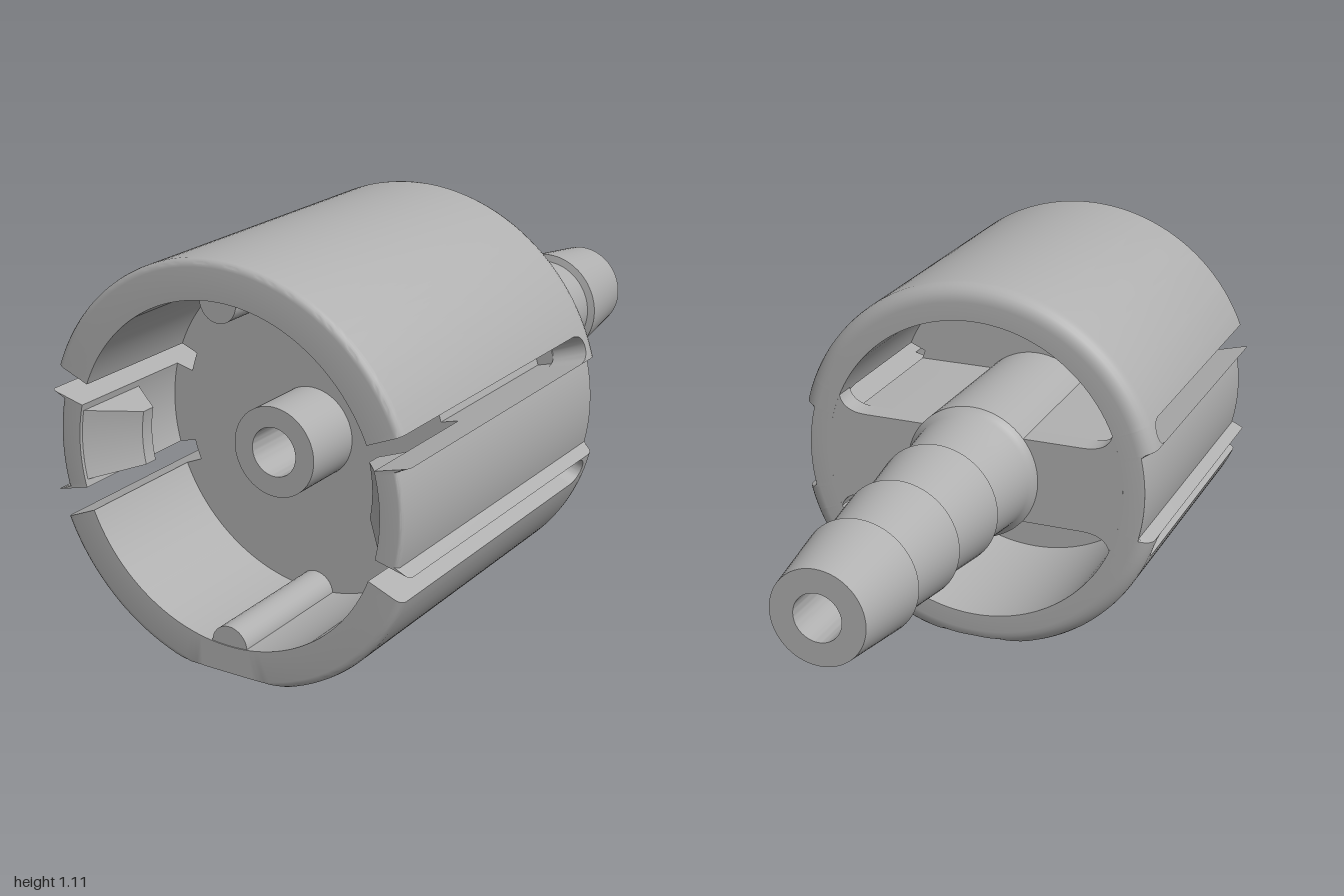
import * as THREE from 'three';
import { toCreasedNormals } from 'three/addons/utils/BufferGeometryUtils.js';

const CY = 0.54;                 // height of the main axis
const R = 0.567, RI = 0.463;     // outer and inner wall radius
const RC = 0.528, RS = 0.41;     // clip radius, slot floor radius
const BORE = 0.068;
const rad = THREE.MathUtils.degToRad;
const A0 = 14.4, A1 = 22.3;      // slot edges in degrees

const plastic = new THREE.MeshStandardMaterial({ color: 0xb0b0b0 });
plastic.name = 'grey plastic';

// Sweep a counter-clockwise (radius, z) profile around z through a list of angles
function sweep(angles, profileAt) {
  const pos = [], idx = [];
  const n = profileAt(angles[0]).length, last = angles.length - 1;
  for (const a of angles) {
    for (const [r, z] of profileAt(a)) {
      pos.push(r * Math.cos(rad(a)), Math.max(r * Math.sin(rad(a)), -CY), z);
    }
  }
  for (let i = 0; i < last; i++) {
    for (let j = 0; j < n; j++) {
      const a = i * n + j, b = i * n + (j + 1) % n, c = a + n, d = b + n;
      idx.push(a, c, b, b, c, d);
    }
  }
  if (angles[last] - angles[0] < 359) {
    const cap = (k) => THREE.ShapeUtils.triangulateShape(
      profileAt(angles[k]).map(([r, z]) => new THREE.Vector2(r, z)), []);
    for (const [a, b, c] of cap(0)) idx.push(a, b, c);
    for (const [a, b, c] of cap(last)) idx.push(last * n + a, last * n + c, last * n + b);
  }
  const g = new THREE.BufferGeometry();
  g.setAttribute('position', new THREE.Float32BufferAttribute(pos, 3));
  g.setIndex(idx);
  return toCreasedNormals(g, rad(32));
}

function range(from, to, steps) {
  return Array.from({ length: steps + 1 }, (_, i) => from + (to - from) * i / steps);
}

// Wall profile: large round at the back, small round at the front
function wallProfile(inner, outer, zEnd, frontRound) {
  const p = [[inner, 0]], f = 0.05;
  for (const t of range(0, 90, 6)) {
    p.push([Math.min(outer, R - f + f * Math.sin(rad(t))), f - f * Math.cos(rad(t))]);
  }
  if (frontRound) {
    for (const t of range(0, 90, 4)) {
      p.push([outer - frontRound + frontRound * Math.cos(rad(t)), zEnd - frontRound + frontRound * Math.sin(rad(t))]);
    }
  } else p.push([outer, zEnd]);
  p.push([inner, zEnd]);
  return p;
}

// Extrude a flat outline from z0 to z1 with the central bore
function plate(shape, z0, z1) {
  const hole = new THREE.Path();
  hole.absarc(0, 0, BORE, 0, Math.PI * 2, true);
  shape.holes.push(hole);
  const g = new THREE.ExtrudeGeometry(shape, { depth: z1 - z0, bevelEnabled: false, curveSegments: 40 });
  g.translate(0, 0, z0);
  return toCreasedNormals(g, rad(32));
}

const polar = (r, a) => new THREE.Vector2(r * Math.cos(rad(a)), r * Math.sin(rad(a)));

// Mirror an outline of the upper right quarter into all four quarters
function fourWay(q) {
  const flip = (sx, sy, rev) => {
    const m = q.map((p) => new THREE.Vector2(p.x * sx, p.y * sy));
    return rev ? m.reverse() : m;
  };
  return new THREE.Shape([...flip(1, 1), ...flip(-1, 1, true), ...flip(-1, -1), ...flip(1, -1, true)]);
}

export function createModel() {
  const model = new THREE.Group();
  model.name = 'hoseFitting';
  const body = new THREE.Group();
  body.name = 'body';
  body.position.y = CY;
  model.add(body);
  const add = (name, geometry) => {
    const m = new THREE.Mesh(geometry, plastic);
    m.name = name;
    body.add(m);
    return m;
  };

  // Upper and lower shells, the lower one cut flat at the ground
  const shell = wallProfile(RI, R, 1, 0.02);
  add('upperShell', sweep(range(A1, 180 - A1, 72), () => shell));
  add('lowerShell', sweep(range(180 + A1, 360 - A1, 72), () => shell));

  // Spring clips with raised edges and inner hooks
  const clipAngles = [-A0, -A0 + 0.8, ...range(-13, 13, 16), A0 - 0.8, A0];
  for (const [side, turn] of [['left', 0], ['right', 180]]) {
    add(side + 'Clip', sweep(clipAngles.map((a) => a + turn), (a) =>
      wallProfile(RI, Math.abs(Math.abs(a - turn) - A0) < 1e-6 ? R : RC, 1, 0.012)));
    add(side + 'Hook', sweep(range(turn - 12, turn + 12, 12), () =>
      [[0.47, 0.76], [0.47, 0.99], [RI, 0.99], [0.36, 0.87], [0.36, 0.83]]));
  }

  // Closed back ends of the four slots, rounded toward the opening
  const mid = (A0 + A1) / 2, half = (A1 - A0) / 2;
  for (const c of [mid, 180 - mid, 180 + mid, 360 - mid]) {
    add('slotEnd', sweep(range(c - half, c + half, 12), (a) => {
      const t = (a - c) / half;
      return wallProfile(RI, R, 0.105 - 0.04 * Math.sqrt(Math.max(0, 1 - t * t)), 0);
    }));
  }

  // Floor of the socket, notched by the slots
  const floor = fourWay([
    ...range(0.5, A0, 6).map((a) => polar(RI, a)),
    ...range(A0, A1, 4).map((a) => polar(RS, a)),
    ...range(A1, 89.5, 30).map((a) => polar(RI, a)),
  ]);
  add('socketFloor', plate(floor, 0.52, 0.6));

  // Cross web between the two rear pockets
  const B = 0.13;
  const web = fourWay([
    ...range(0.5, A0, 6).map((a) => polar(RI, a)),
    ...range(A0, 18.4, 3).map((a) => polar(RS, a)),
    new THREE.Vector2(0.01, B),
  ]);
  add('crossWeb', plate(web, 0.07, 0.52));

  // Back face of the web, with rounded pocket corners
  const corner = new THREE.QuadraticBezierCurve(
    polar(RI, A1 + 0.5), new THREE.Vector2(0.415, B), new THREE.Vector2(0.34, B));
  const back = fourWay([
    ...range(0.5, A1, 10).map((a) => polar(RI, a)),
    ...corner.getPoints(8),
    new THREE.Vector2(0.01, B),
  ]);
  add('backBand', plate(back, 0, 0.07));

  // Guide ribs inside the shells
  for (const s of [1, -1]) {
    const rib = add(s > 0 ? 'upperRib' : 'lowerRib', new THREE.CylinderGeometry(0.055, 0.055, 0.4, 32));
    rib.rotation.x = Math.PI / 2;
    rib.position.set(0, s * 0.463, 0.797);
  }

  // Barbed stem running through the pockets up to the floor
  const stem = [
    [BORE, -1], [0.135, -1],
    [0.168, -0.755], [0.146, -0.75],
    [0.175, -0.505], [0.154, -0.5],
    [0.184, -0.255], [0.165, -0.25],
    [0.187, -0.03], [0.193, -0.012], [0.205, 0],
    [0.2, 0.53], [BORE, 0.53],
  ];
  add('barbedStem', sweep(range(0, 360, 64), () => stem));

  // Short inner spout
  add('innerSpout', sweep(range(0, 360, 64), () =>
    [[BORE, 0.52], [0.125, 0.52], [0.125, 0.78], [BORE, 0.78]]));

  return model;
}
